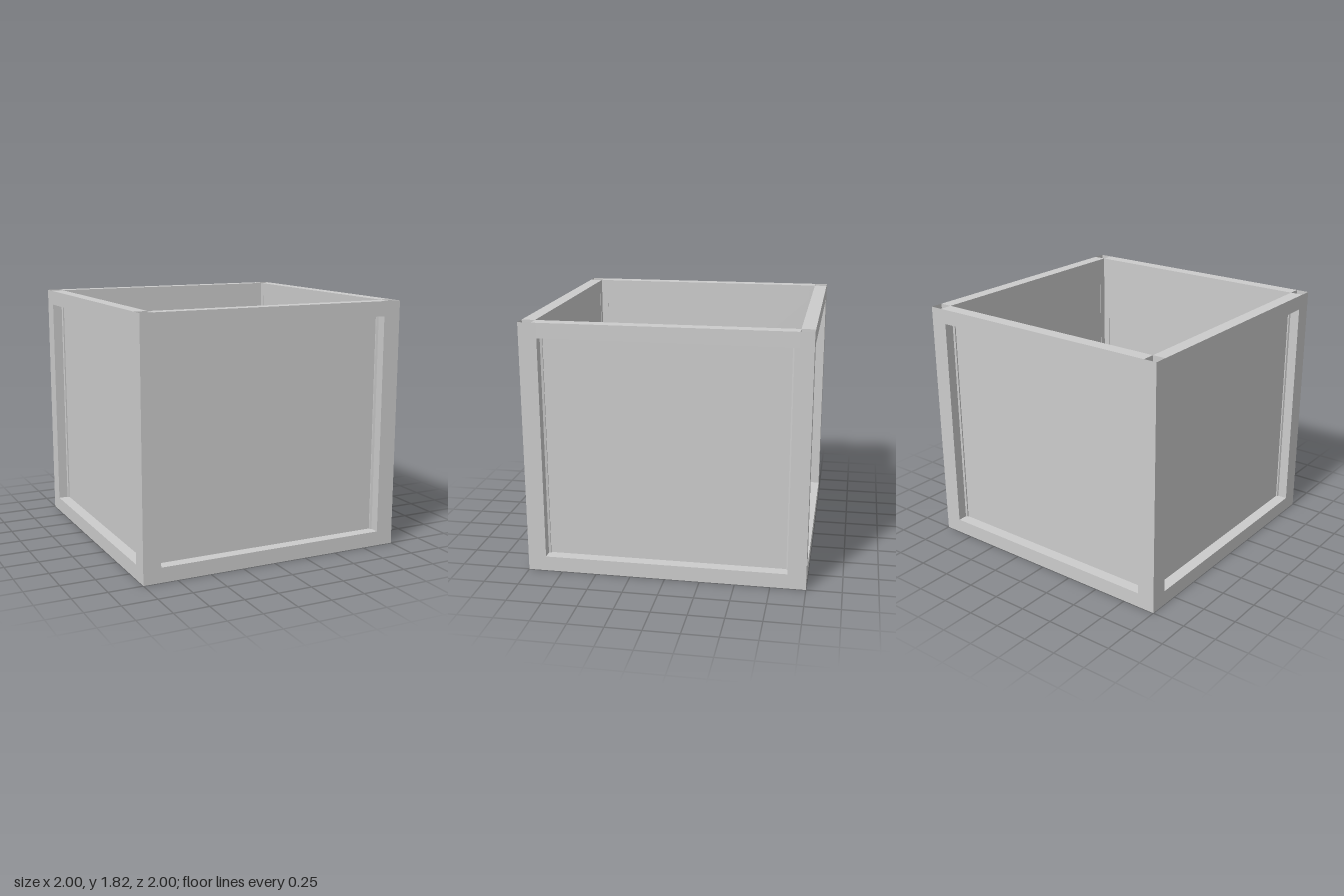
import * as THREE from 'three';

const H = 1.82;       // overall height
const INNER = 0.905;  // inner face of the frame
const RAIL = 0.108;   // rail height

const grey = new THREE.MeshStandardMaterial({ color: 0xcccccc, flatShading: true });
const sheet = new THREE.MeshStandardMaterial({ color: 0xcccccc, flatShading: true, side: THREE.DoubleSide });

function box(name, w, h, d, x, y, z) {
  const mesh = new THREE.Mesh(new THREE.BoxGeometry(w, h, d), grey);
  mesh.name = name;
  mesh.position.set(x, y, z);
  return mesh;
}

// Hollow, open-ended upright: a closed [x, z] outline swept vertically
function postGeometry(outline) {
  const pos = [];
  outline.forEach(([ax, az], i) => {
    const [bx, bz] = outline[(i + 1) % outline.length];
    pos.push(ax, 0, az, ax, H, az, bx, H, bz, ax, 0, az, bx, H, bz, bx, 0, bz);
  });
  const geo = new THREE.BufferGeometry();
  geo.setAttribute('position', new THREE.Float32BufferAttribute(pos, 3));
  geo.computeVertexNormals();
  return geo;
}

export function createModel() {
  const model = new THREE.Group();
  model.name = 'panelledFrame';

  // L-section post with a small lip on each leg that holds the panel
  const leg = [[1, 1], [0.87, 1], [0.87, 0.93], [0.855, 0.925], [0.855, INNER], [INNER, INNER]];
  const outline = [...leg, ...leg.slice(1, 5).reverse().map(([x, z]) => [z, x])];
  const post = postGeometry(outline);

  // Four identical sides, each with two rails, a recessed panel and a corner post
  ['front', 'left', 'back', 'right'].forEach((label, i) => {
    const side = new THREE.Group();
    side.name = label + 'Side';
    side.rotation.y = i * Math.PI / 2;

    const depth = 1 - INNER;
    const z = (1 + INNER) / 2;
    side.add(box('bottomRail', 2 * INNER, RAIL, depth, 0, RAIL / 2, z));
    side.add(box('topRail', 2 * INNER, RAIL, depth, 0, H - RAIL / 2, z));
    side.add(box('panel', 1.74, H - 2 * RAIL, 0.008, 0, H / 2, 0.912));

    const corner = new THREE.Mesh(post, sheet);
    corner.name = 'cornerPost';
    side.add(corner);
    model.add(side);
  });

  return model;
}
